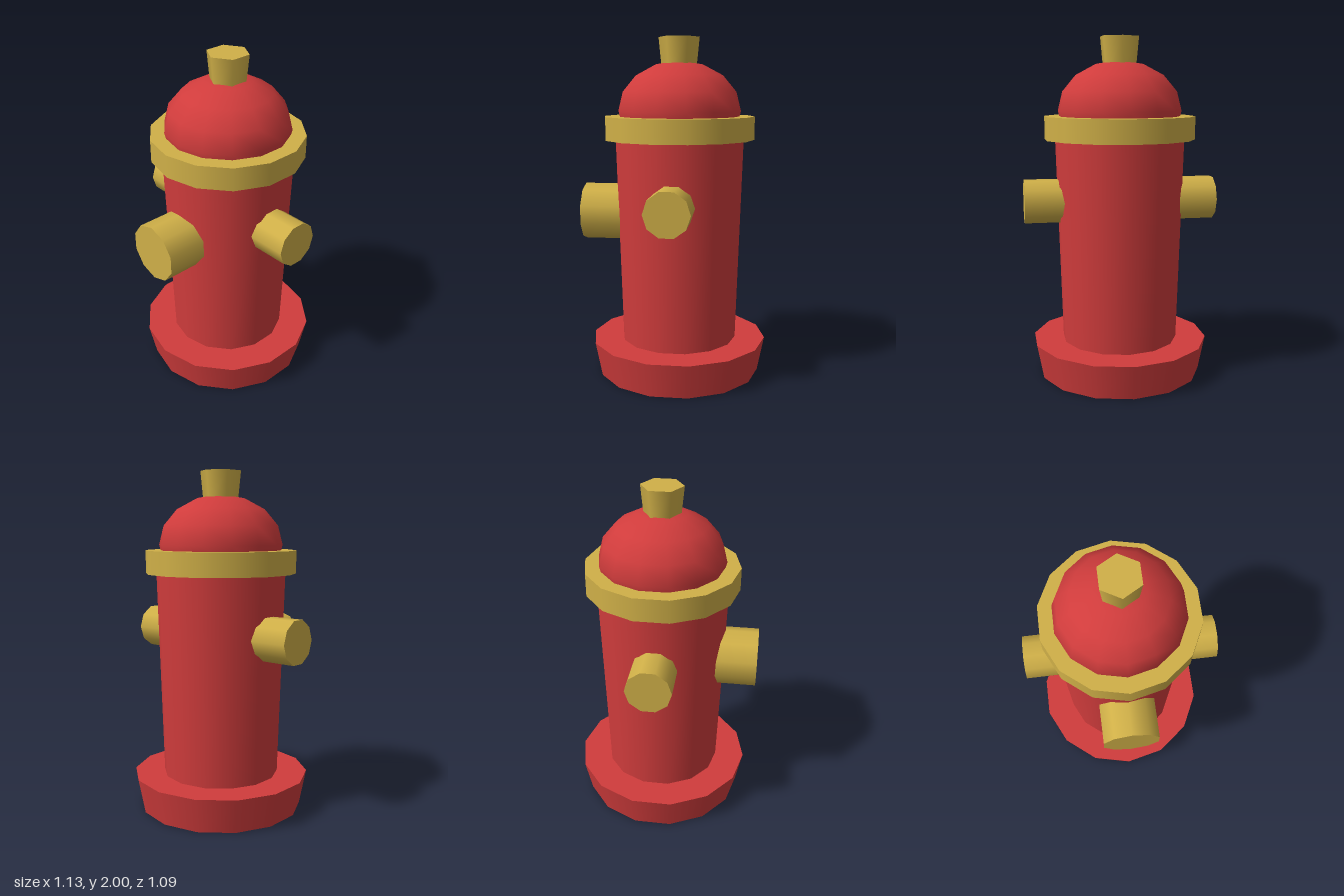
import * as THREE from 'three';

const AXIS_Z = -0.022; // upright axis of the barrel
const SIDES = 14;

export function createModel() {
  const hydrant = new THREE.Group();
  hydrant.name = 'fireHydrant';

  const red = new THREE.MeshStandardMaterial({ color: 0xd03c3c });
  red.name = 'red';
  const gold = new THREE.MeshStandardMaterial({ color: 0xd0b048 });
  gold.name = 'gold';

  function add(name, geometry, material, x, y, z) {
    const mesh = new THREE.Mesh(geometry, material);
    mesh.name = name;
    mesh.position.set(x, y, z);
    hydrant.add(mesh);
    return mesh;
  }

  // Upright tapered section between two heights
  function section(name, material, rBottom, rTop, y0, y1, sides = SIDES) {
    const geometry = new THREE.CylinderGeometry(rTop, rBottom, y1 - y0, sides);
    return add(name, geometry, material, 0, (y0 + y1) / 2, AXIS_Z);
  }

  section('base', red, 0.485, 0.525, 0, 0.205);
  section('barrel', red, 0.345, 0.382, 0.2, 1.42);
  section('collar', gold, 0.444, 0.444, 1.41, 1.545);

  // Flattened dome sunk into the collar, corners lined up with the barrel
  const dome = new THREE.SphereGeometry(0.363, SIDES, 8);
  dome.rotateY(Math.PI / 2);
  dome.scale(1, 0.29 / 0.363, 1);
  add('dome', dome, red, 0, 1.576, AXIS_Z);

  section('topNut', gold, 0.1, 0.12, 1.8, 2, 6);

  // Mirrored side outlets
  for (const side of [1, -1]) {
    const outlet = new THREE.CylinderGeometry(0.13, 0.13, 0.315, 10);
    outlet.rotateZ(-side * Math.PI / 2);
    add(side > 0 ? 'leftOutlet' : 'rightOutlet', outlet, gold, side * 0.4075, 1.053, AXIS_Z);
  }

  // Larger front outlet
  const frontOutlet = new THREE.CylinderGeometry(0.17, 0.17, 0.345, 10);
  frontOutlet.rotateX(Math.PI / 2);
  add('frontOutlet', frontOutlet, gold, 0, 0.971, 0.3725);

  return hydrant;
}
